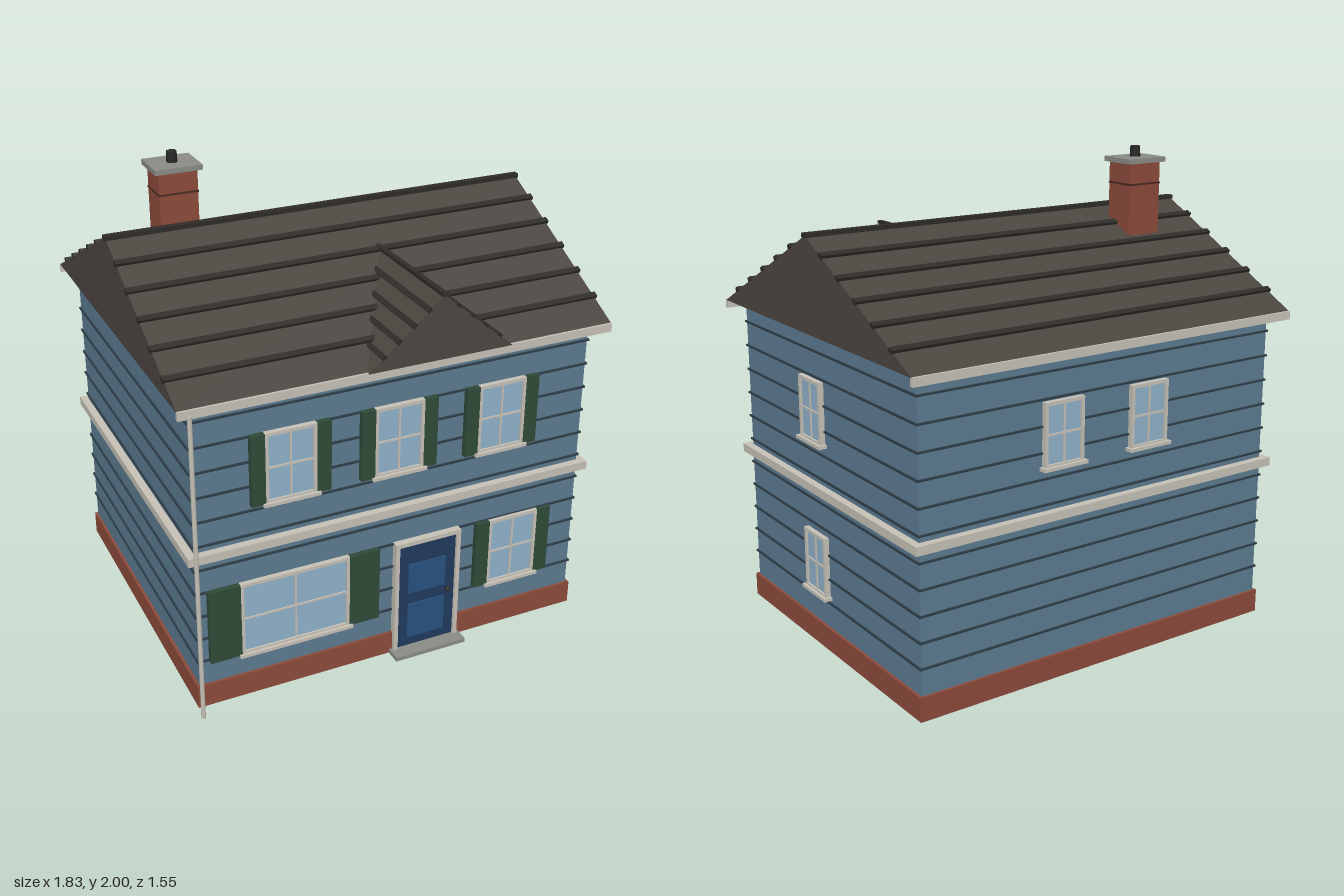
import * as THREE from 'three';

const mat = (color, extra = {}) => new THREE.MeshStandardMaterial({ color, ...extra });
const M = {
  wall: mat(0x5b7a90), groove: mat(0x2e3d48), brick: mat(0x8b4a3a), mortar: mat(0x4a2a22),
  roof: mat(0x4b4540), ridge: mat(0x2e2b28), trim: mat(0xc4c0b6), shutter: mat(0x2f4a38),
  glass: mat(0x8fb0c8), door: mat(0x1f3a5c), panel: mat(0x27507f), dark: mat(0x2a2a2a), stone: mat(0x8a8a86),
};

function add(parent, name, geometry, material, x = 0, y = 0, z = 0) {
  const mesh = new THREE.Mesh(geometry, material);
  mesh.name = name;
  mesh.position.set(x, y, z);
  parent.add(mesh);
  return mesh;
}

// Box given by its minimum and maximum along each axis
function box(parent, name, material, x0, x1, y0, y1, z0, z1) {
  return add(parent, name, new THREE.BoxGeometry(x1 - x0, y1 - y0, z1 - z0), material,
    (x0 + x1) / 2, (y0 + y1) / 2, (z0 + z1) / 2);
}

// Triangular prism along z, base on y = 0, starting at z = 0
function prism(halfWidth, height, length) {
  const s = new THREE.Shape();
  s.moveTo(-halfWidth, 0);
  s.lineTo(halfWidth, 0);
  s.lineTo(0, height);
  s.closePath();
  return new THREE.ExtrudeGeometry(s, { depth: length, bevelEnabled: false });
}

// Window facing +z, wall surface at z = 0, centred on x, bottom at y = 0
function makeWindow(w, h, shutterWidth = 0) {
  const g = new THREE.Group();
  g.name = 'window';
  const b = 0.014, m = 0.004;
  box(g, 'glass', M.glass, -w / 2 + b, w / 2 - b, b, h - b, 0, 0.013);
  for (const s of [-1, 1]) {
    const x = s * (w / 2 - b / 2);
    box(g, 'frameSide', M.trim, x - b / 2, x + b / 2, 0, h, 0, 0.022);
    if (shutterWidth) {
      const c = s * (w / 2 + shutterWidth / 2);
      box(g, 'shutter', M.shutter, c - shutterWidth / 2, c + shutterWidth / 2, 0, h, 0, 0.024);
    }
  }
  box(g, 'frameTop', M.trim, -w / 2, w / 2, h - b, h, 0, 0.022);
  box(g, 'frameBottom', M.trim, -w / 2, w / 2, 0, b, 0, 0.022);
  box(g, 'verticalBar', M.trim, -m, m, b, h - b, 0, 0.018);
  box(g, 'horizontalBar', M.trim, -w / 2 + b, w / 2 - b, h / 2 - m, h / 2 + m, 0, 0.018);
  box(g, 'sill', M.trim, -w / 2 - 0.012, w / 2 + 0.012, -0.008, 0.006, 0, 0.035);
  return g;
}

export function createModel() {
  const house = new THREE.Group();
  house.name = 'house';
  const W = 0.85, D = 0.697, CZ = -0.007;
  const front = CZ + D, back = CZ - D;
  const ring = (name, material, grow, y0, y1) =>
    box(house, name, material, -W - grow, W + grow, y0, y1, back - grow, front + grow);

  // Walls, brick base, siding lines and belt between the storeys
  ring('walls', M.wall, 0, 0.05, 1.36);
  ring('base', M.brick, 0.012, 0, 0.1);
  for (let i = 0; i < 11; i++) {
    const y = 0.212 + i * 0.1055;
    ring('sidingLine', M.groove, 0.007, y - 0.004, y + 0.004);
  }
  ring('belt', M.trim, 0.032, 0.678, 0.714);

  // Main roof
  const RW = 0.91, EZ = 0.765, EY = 1.355, RH = 0.385;
  const roof = add(house, 'mainRoof', prism(EZ, RH, RW * 2), M.roof, -RW, EY, CZ);
  roof.rotation.y = Math.PI / 2;
  const pitch = Math.atan2(RH, EZ);
  box(house, 'ridgeCap', M.ridge, -0.917, 0.917, EY + RH - 0.008, EY + RH + 0.01, CZ - 0.015, CZ + 0.015);
  for (const s of [-1, 1]) {
    for (let i = 1; i <= 5; i++) {
      const d = i * 0.127;
      const strip = add(house, 'shingleCourse', new THREE.BoxGeometry(1.834, 0.016, 0.024), M.ridge,
        0, EY + RH * (1 - d / EZ) + 0.005, CZ + s * d);
      strip.rotation.x = s * pitch;
    }
    const z = CZ + s * 0.763;
    box(house, 'gutter', M.trim, -RW, RW, 1.322, 1.357, z - 0.008, z + 0.008);
  }

  // Front cross gable, its courses ending where they meet the main roof
  const GX = 0.14, GW = 0.308, GH = 0.262, GF = 0.768;
  add(house, 'crossGable', prism(GW, GH, 0.56), M.roof, GX, EY, GF - 0.56);
  const gablePitch = Math.atan2(GH, GW);
  for (let i = 0; i < 5; i++) {
    const y = EY + GH * (1 - i / 5);
    const zBack = CZ + EZ * (1 - (y - EY) / RH) - 0.02;
    for (const s of i ? [-1, 1] : [0]) {
      const strip = add(house, 'gableCourse', new THREE.BoxGeometry(0.022, 0.014, GF + 0.004 - zBack), M.ridge,
        GX + s * GW * i / 5, y + 0.003, (GF + 0.004 + zBack) / 2);
      strip.rotation.z = -s * gablePitch;
    }
  }

  // Chimney with cap and flue
  box(house, 'chimney', M.brick, -0.66, -0.5, 1.5, 1.94, -0.222, -0.085);
  box(house, 'chimneyJoint', M.mortar, -0.662, -0.498, 1.842, 1.85, -0.224, -0.083);
  box(house, 'chimneyCap', M.stone, -0.678, -0.482, 1.934, 1.955, -0.238, -0.07);
  add(house, 'flue', new THREE.CylinderGeometry(0.021, 0.023, 0.05, 6), M.dark, -0.58, 1.975, -0.154);

  // Windows: x, bottom, width, height, shutter width
  const frontWindows = [
    [-0.456, 0.868, 0.212, 0.3, 0.058], [0, 0.868, 0.212, 0.3, 0.058], [0.456, 0.868, 0.212, 0.3, 0.058],
    [-0.442, 0.205, 0.466, 0.328, 0.132], [0.545, 0.22, 0.23, 0.31, 0.062],
  ];
  for (const [x, y, w, h, s] of frontWindows) {
    const win = makeWindow(w, h, s);
    win.position.set(x, y, front);
    house.add(win);
  }
  for (const y of [0.235, 0.89]) {
    const win = makeWindow(0.175, 0.262);
    win.position.set(W, y, 0.09);
    win.rotation.y = Math.PI / 2;
    house.add(win);
  }
  for (const x of [-0.21, 0.21]) {
    const win = makeWindow(0.185, 0.262);
    win.position.set(x, 0.89, back);
    win.rotation.y = Math.PI;
    house.add(win);
  }

  // Front door with frame, panels, knob and step
  const door = new THREE.Group();
  door.name = 'frontDoor';
  door.position.set(0.142, 0, front);
  house.add(door);
  box(door, 'doorLeaf', M.door, -0.132, 0.132, 0.018, 0.52, 0, 0.018);
  for (const [y0, y1] of [[0.06, 0.225], [0.28, 0.42]]) box(door, 'doorPanel', M.panel, -0.085, 0.085, y0, y1, 0, 0.024);
  for (const s of [-1, 1]) box(door, 'doorJamb', M.trim, s * 0.14 - 0.009, s * 0.14 + 0.009, 0.018, 0.535, 0, 0.03);
  box(door, 'doorHead', M.trim, -0.149, 0.149, 0.516, 0.535, 0, 0.03);
  add(door, 'doorKnob', new THREE.SphereGeometry(0.011, 12, 8), M.dark, 0.098, 0.255, 0.028);
  box(door, 'doorStep', M.stone, -0.162, 0.162, 0, 0.018, 0, 0.08);

  // Downspout at the front right corner
  add(house, 'downspout', new THREE.CylinderGeometry(0.009, 0.009, 1.335, 10), M.trim, -0.865, 0.6675, 0.763);

  return house;
}
